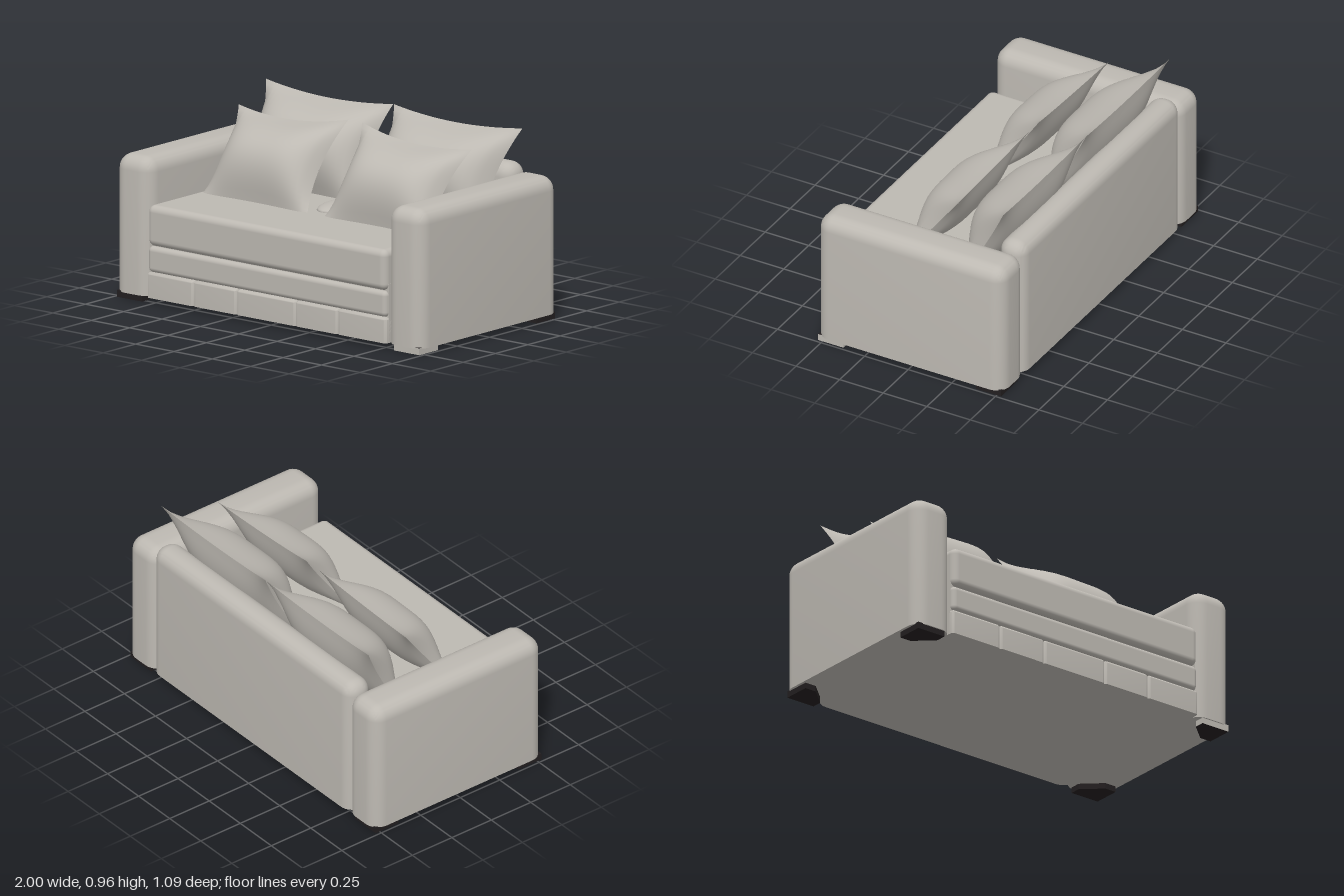
import * as THREE from 'three';
import { RoundedBoxGeometry } from 'three/addons/geometries/RoundedBoxGeometry.js';
import { toCreasedNormals } from 'three/addons/utils/BufferGeometryUtils.js';

const V = (x, y, z) => new THREE.Vector3(x, y, z);

export function createModel() {
  const sofa = new THREE.Group();
  sofa.name = 'sofa';
  const fabric = new THREE.MeshStandardMaterial({ color: 0xbdb9b2 });
  fabric.name = 'greyFabric';
  const dark = new THREE.MeshStandardMaterial({ color: 0x231f20 });
  dark.name = 'darkFoot';

  function add(name, geometry, material = fabric) {
    const mesh = new THREE.Mesh(geometry, material);
    mesh.name = name;
    sofa.add(mesh);
    return mesh;
  }

  // Rounded block given by its extents; flatBottom squares off the underside
  function block(name, [x0, x1], [y0, y1], [z0, z1], r, flatBottom = false) {
    const low = flatBottom ? y0 - r : y0;
    let g = new RoundedBoxGeometry(x1 - x0, y1 - low, z1 - z0, 5, r);
    g.translate((x0 + x1) / 2, (low + y1) / 2, (z0 + z1) / 2);
    if (flatBottom) {
      const p = g.attributes.position;
      for (let i = 0; i < p.count; i++) p.setY(i, Math.max(p.getY(i), y0));
      g = toCreasedNormals(g, 0.6);
    }
    return add(name, g);
  }

  // Pillow over four corners, edges drawn in, bulging by front and back
  function pillow(name, { bl, br, tl, tr }, bow, front, back) {
    const normal = br.clone().sub(bl).cross(tl.clone().sub(bl)).normalize();
    for (const [side, bulge] of [[1, front], [-1, -back]]) {
      const g = new THREE.PlaneGeometry(2, 2, 24, 20);
      const p = g.attributes.position;
      for (let i = 0; i < p.count; i++) {
        const u = p.getX(i) * side, v = p.getY(i);
        const s = (1 + u * (1 - bow * (1 - v * v))) / 2;
        const t = (1 + v * (1 - bow * (1 - u * u))) / 2;
        const low = bl.clone().lerp(br, s), high = tl.clone().lerp(tr, s);
        const puff = Math.pow(1 - u ** 4, 0.8) * Math.pow(1 - v * v, 1.15);
        const q = low.lerp(high, t).addScaledVector(normal, bulge * puff);
        p.setXYZ(i, q.x, q.y, q.z);
      }
      g.computeVertexNormals();
      add(name + (side > 0 ? 'Front' : 'Back'), g);
    }
  }

  // Frame: base, backrest and arms
  add('base', new THREE.BoxGeometry(1.56, 0.3, 1.02).translate(0, 0.18, 0.005));
  block('backrest', [-0.8, 0.8], [0.03, 0.778], [-0.543, -0.39], 0.07, true);
  block('rightArm', [-1, -0.77], [0.03, 0.735], [-0.54, 0.532], 0.075, true);
  block('leftArm', [0.77, 1], [0.03, 0.735], [-0.54, 0.532], 0.075, true);

  // Seat cushion, folded layer and divided lower panel
  block('seatCushion', [-0.775, 0.778], [0.296, 0.505], [-0.42, 0.545], 0.035);
  block('foldedLayer', [-0.775, 0.778], [0.161, 0.294], [-0.4, 0.54], 0.025);
  const seams = [-0.778, -0.475, -0.195, 0.19, 0.465, 0.78];
  for (let i = 0; i < 5; i++) {
    block('lowerPanel' + (i + 1), [seams[i], seams[i + 1]], [0.03, 0.16], [0.3, 0.54], 0.015, true);
  }

  // Soft fold of fabric between the pillows
  const fold = add('seatFold', new THREE.SphereGeometry(1, 20, 12));
  fold.scale.set(0.1, 0.035, 0.16);
  fold.position.set(0, 0.505, -0.05);

  // Pillow corners as [inner, outer] pairs, mirrored to both sides
  function pillowPair(name, bottom, top, bow, front, back) {
    for (const s of [-1, 1]) {
      const [bi, bo, ti, to] = [...bottom, ...top].map(([x, y, z]) => V(x * s, y, z));
      const corners = s > 0 ? { bl: bi, br: bo, tl: ti, tr: to } : { bl: bo, br: bi, tl: to, tr: ti };
      pillow((s > 0 ? 'left' : 'right') + name, corners, bow, front, back);
    }
  }
  pillowPair('BackPillow',
    [[0.02, 0.46, -0.17], [0.78, 0.46, -0.17]],
    [[0.003, 0.96, -0.445], [0.835, 0.962, -0.45]], 0.11, 0.175, 0.09);
  pillowPair('ThrowPillow',
    [[0.04, 0.465, 0.18], [0.755, 0.465, 0.18]],
    [[0.045, 0.927, -0.15], [0.76, 0.897, -0.15]], 0.15, 0.14, 0.08);

  // Corner feet with a chamfered inner corner
  const outline = [[0.985, 0.525], [0.82, 0.525], [0.82, 0.47], [0.92, 0.38], [0.985, 0.38]];
  for (const sx of [-1, 1]) {
    for (const sz of [-1, 1]) {
      const shape = new THREE.Shape(outline.map(([x, z]) => new THREE.Vector2(x * sx, -z * sz)));
      const g = new THREE.ExtrudeGeometry(shape, { depth: 0.035, bevelEnabled: false });
      g.rotateX(-Math.PI / 2);
      const covered = sx > 0 && sz > 0;
      add((sz > 0 ? 'front' : 'back') + (sx > 0 ? 'Left' : 'Right') + 'Foot', g, covered ? [dark, fabric] : dark);
    }
  }
  return sofa;
}
